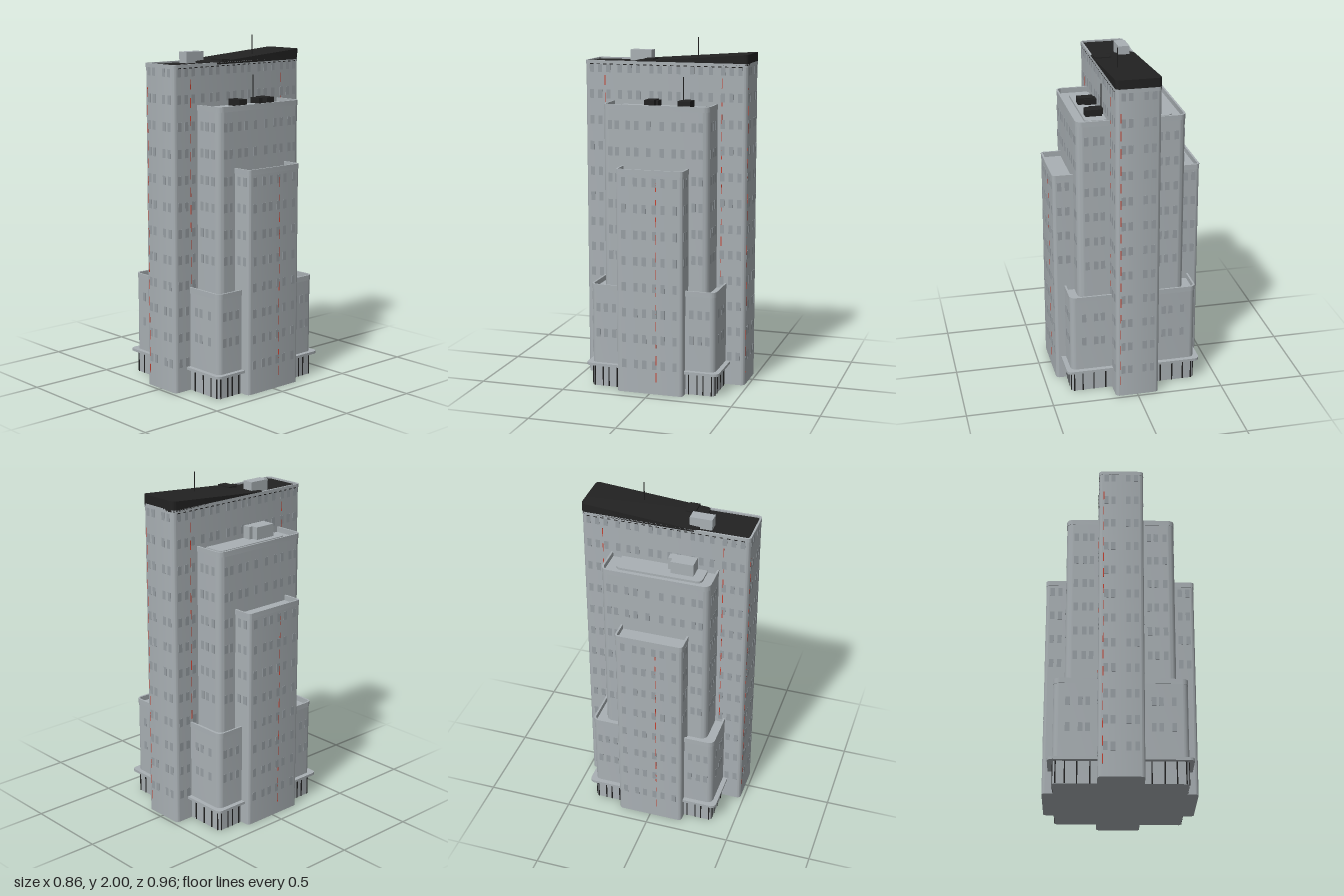
import * as THREE from 'three';
import { toCreasedNormals } from 'three/addons/utils/BufferGeometryUtils.js';

const mat = (name, color) => Object.assign(new THREE.MeshStandardMaterial({ color }), { name });

// Rounded rectangle outline in plan
function outline(target, x, z, r) {
  target.moveTo(-x + r, -z);
  target.lineTo(x - r, -z);
  target.absarc(x - r, -z + r, r, -Math.PI / 2, 0);
  target.absarc(x - r, z - r, r, 0, Math.PI / 2);
  target.absarc(-x + r, z - r, r, Math.PI / 2, Math.PI);
  target.absarc(-x + r, -z + r, r, Math.PI, Math.PI * 1.5);
  return target;
}

// Upright prism of half sizes x, z from y0 to y1; a wall thickness makes it a hollow ring
function prism(x, z, y0, y1, r, wall = 0) {
  const shape = outline(new THREE.Shape(), x, z, r);
  if (wall) shape.holes.push(outline(new THREE.Path(), x - wall, z - wall, Math.max(r - wall, 0.004)));
  const geo = new THREE.ExtrudeGeometry(shape, { depth: y1 - y0, bevelEnabled: false, curveSegments: 6 });
  geo.rotateX(-Math.PI / 2).translate(0, y0, 0);
  return toCreasedNormals(geo, 0.5);
}

export function createModel() {
  const model = new THREE.Group();
  model.name = 'tower';
  const wall = mat('concrete', 0xa9b0b4);
  const pane = mat('window grey', 0x979ea3);
  const black = mat('black', 0x222222);
  const red = mat('red', 0xc8402f);

  const add = (name, geo, material, parent = model) => {
    const mesh = new THREE.Mesh(geo, material);
    mesh.name = name;
    parent.add(mesh);
    return mesh;
  };
  const box = (name, x0, x1, y0, y1, z0, z1, material) =>
    add(name, new THREE.BoxGeometry(x1 - x0, y1 - y0, z1 - z0), material)
      .position.set((x0 + x1) / 2, (y0 + y1) / 2, (z0 + z1) / 2);

  // Block with a recessed roof behind a thin parapet
  const block = (name, x, z, y0, y1, r, recess = 0.03) => {
    add(name, prism(x, z, y0, y1 - recess, r), wall);
    add(name + 'Parapet', prism(x + 0.002, z + 0.002, y1 - recess, y1, r, 0.011), wall);
  };
  block('centralSlab', 0.126, 0.48, 0, 1.862, 0.024, 0.022);
  block('middleBlock', 0.31, 0.31, 0, 1.635, 0.04);
  block('sideWings', 0.426, 0.195, 0, 1.29, 0.02);
  block('lowerBlock', 0.368, 0.368, 0.13, 0.605, 0.035);
  add('middleRoofDeck', prism(0.247, 0.247, 1.6, 1.618, 0.03), wall);

  // Ground floor and canopy
  add('groundFloor', prism(0.365, 0.365, 0, 0.13, 0.02), wall);
  add('canopy', prism(0.395, 0.395, 0.126, 0.141, 0.03), wall);

  // Black roof: flat front deck and a wedge rising to the back
  add('frontRoofDeck', prism(0.116, 0.47, 1.838, 1.853, 0.015), black);
  const wedge = prism(0.128, 0.336, 1.85, 1.864, 0.024).translate(0, 0, -0.146);
  const pos = wedge.attributes.position;
  for (let i = 0; i < pos.count; i++) {
    if (pos.getY(i) > 1.857) pos.setY(i, 1.863 + 0.049 * Math.max(0, (0.1 - pos.getZ(i)) / 0.582));
  }
  wedge.translate(0, 0.0005, 0);
  add('slopingRoof', toCreasedNormals(wedge, 0.5), black);

  // Roof equipment
  box('roofHousing', -0.09, -0.025, 1.85, 1.916, 0.13, 0.257, wall);
  box('roofHatch', 0.03, 0.125, 1.85, 1.878, 0.068, 0.125, black);
  box('sideRoofHousing', -0.21, -0.12, 1.61, 1.69, 0.06, 0.19, wall);
  box('sideRoofHousingStep', -0.175, -0.12, 1.61, 1.69, 0.035, 0.06, wall);
  box('coolingUnit', 0.14, 0.232, 1.61, 1.655, -0.18, -0.122, black);
  box('coolingUnitBase', 0.12, 0.196, 1.61, 1.65, -0.15, -0.095, black);
  box('coolingUnit', 0.14, 0.232, 1.61, 1.655, 0.032, 0.09, black);
  box('coolingUnitBase', 0.12, 0.196, 1.61, 1.65, 0.02, 0.075, black);
  const antenna = (x, z, y0, y1) =>
    add('antenna', new THREE.CylinderGeometry(0.003, 0.003, y1 - y0, 6), black).position.set(x, (y0 + y1) / 2, z);
  antenna(0.05, -0.175, 1.87, 2);
  antenna(0.128, -0.11, 1.61, 1.78);

  // Thin plates on the four facades: turn 0 front, 1 left, 2 back, 3 right
  const facades = [0, 1, 2, 3].map((turn) => {
    const group = new THREE.Group();
    group.name = ['front', 'left', 'back', 'right'][turn] + 'FacadeDetails';
    group.rotation.y = turn * Math.PI / 2;
    model.add(group);
    return group;
  });
  const plate = (name, turn, u, y, dist, w, h, material) =>
    add(name, new THREE.BoxGeometry(w, h, 0.004), material, facades[turn]).position.set(u, y, dist);

  // Grid of windows on one face
  const windows = (turn, dist, columns, y0, y1) => {
    for (let y = 1.82; y > y0; y -= 0.15) {
      if (y > y1) continue;
      for (const u of columns) plate('window', turn, u, y, dist - 0.001, 0.025, 0.05, pane);
    }
  };
  const mirrored = (list) => [...list, ...list.map((u) => -u)];
  for (const turn of [0, 2]) {
    windows(turn, 0.48, [-0.085, -0.045, 0.04, 0.085], 0.05, 1.83);
    windows(turn, 0.31, mirrored([0.165, 0.205, 0.255]), 0.63, 1.58);
    windows(turn, 0.195, mirrored([0.345, 0.39]), 0.63, 1.25);
    windows(turn, 0.368, mirrored([0.18, 0.22, 0.29]), 0.18, 0.58);
  }
  for (const turn of [1, 3]) {
    windows(turn, 0.126, mirrored([0.34, 0.39, 0.44]), 0.05, 1.83);
    windows(turn, 0.126, mirrored([0.03, 0.08, 0.16, 0.21, 0.27]), 1.66, 1.83);
    windows(turn, 0.31, mirrored([0.04, 0.11, 0.16]), 1.31, 1.58);
    windows(turn, 0.31, mirrored([0.225, 0.265]), 0.63, 1.58);
    windows(turn, 0.426, mirrored([0.03, 0.08, 0.15]), 0.05, 1.25);
    windows(turn, 0.368, mirrored([0.23, 0.28, 0.325]), 0.18, 0.58);
  }

  // Ground floor mullions
  for (let turn = 0; turn < 4; turn++) {
    const columns = turn % 2 ? [0.215, 0.265, 0.3, 0.35] : [0.165, 0.235, 0.3, 0.35];
    for (const u of mirrored(columns)) plate('mullion', turn, u, 0.063, 0.366, 0.007, 0.125, black);
  }

  // Dashed red marker strips
  const dashes = (turn, u, dist, y0, y1) => {
    for (let y = y0; y < y1; y += 0.1) plate('markerDash', turn, u, y, dist, 0.004, 0.055, red);
  };
  for (const turn of [0, 2]) dashes(turn, -0.1, 0.479, 0.1, 1.8);
  for (const turn of [1, 3]) {
    dashes(turn, -0.36, 0.125, 0.65, 1.85);
    dashes(turn, 0.335, 0.125, 0.65, 1.85);
    dashes(turn, 0.04, 0.425, 0.1, 1.25);
  }

  // Dark dashes below the slab roof
  for (const turn of [1, 3]) {
    for (let u = -0.44; u < 0.45; u += 0.04) plate('roofLineDash', turn, u, 1.842, 0.1265, 0.02, 0.005, black);
  }
  return model;
}
